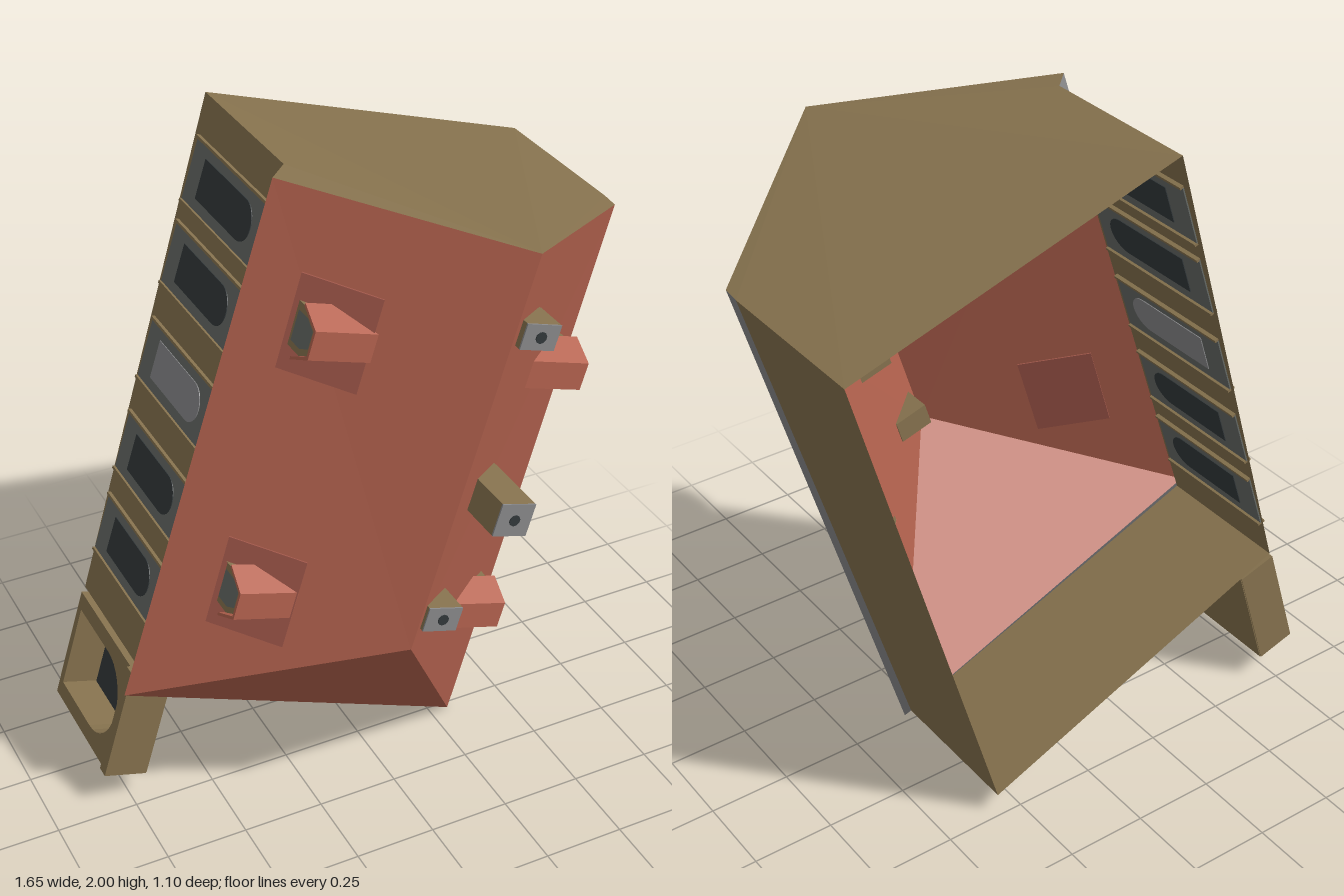
import * as THREE from 'three';

const paint = (name, color) => {
  const m = new THREE.MeshStandardMaterial({ color, side: THREE.DoubleSide });
  m.name = name;
  return m;
};

export function createModel() {
  const red = paint('roof red', 0xb5634f);
  const darkRed = paint('patch red', 0xa0574a);
  const tan = paint('wall tan', 0x86724e);
  const grey = paint('soffit grey', 0x8a8a8c);
  const slate = paint('frame slate', 0x666a66);
  const dark = paint('glass dark', 0x33393b);

  const model = new THREE.Group();
  model.name = 'house';

  const add = (parent, name, geo, mat, x = 0, y = 0, z = 0) => {
    const mesh = new THREE.Mesh(geo, mat);
    mesh.name = name;
    mesh.position.set(x, y, z);
    parent.add(mesh);
    return mesh;
  };
  const box = (w, h, d) => new THREE.BoxGeometry(w, h, d);

  // Flat panel: a fan over its corners
  const panel = (name, mat, ...corners) => {
    const pts = [];
    for (let i = 1; i < corners.length - 1; i++) pts.push(...corners[0], ...corners[i], ...corners[i + 1]);
    const geo = new THREE.BufferGeometry();
    geo.setAttribute('position', new THREE.Float32BufferAttribute(pts, 3));
    geo.computeVertexNormals();
    add(model, name, geo, mat);
  };

  // Eave corners, ridge ends and wall corners
  const EAVE = 0.025, TOP = -0.035;
  const eaves = [[-0.77, 0.455, EAVE], [0.31, 0.0, EAVE], [0.81, 1.68, EAVE], [-0.26, 2.0, EAVE]];
  const ridge1 = [-0.08, 0.71, 0.49], ridge2 = [0.28, 1.87, 0.49];
  const plan = [[-0.7, 0.49, -0.475], [0.325, 0.07, -0.49], [0.815, 1.68, -0.55], [-0.2, 2.0, -0.55]];
  const tops = plan.map(([x, y]) => [x, y, TOP]);

  // Roof, hipped at one end
  panel('leftRoofSlope', red, eaves[3], eaves[0], ridge1, ridge2);
  panel('rightRoofSlope', red, ridge1, eaves[1], eaves[2], ridge2);
  panel('hipRoof', red, eaves[0], eaves[1], ridge1);

  // Walls open underneath, with soffits out to the eaves
  ['endWall', 'rightWall', 'gableWall', 'leftWall'].forEach((name, i) => {
    const j = (i + 1) % 4;
    if (name === 'gableWall') panel(name, tan, ridge2, eaves[3], tops[3], plan[3], plan[2], tops[2], eaves[2]);
    else {
      panel(name, tan, plan[i], plan[j], tops[j], tops[i]);
      panel(name + 'Soffit', grey, tops[i], tops[j], eaves[j], eaves[i]);
    }
  });

  // Details share axes: x across the ridge, y along it, z towards the roof
  const details = new THREE.Group();
  details.name = 'details';
  details.position.set(0.28, 1.87, 0);
  details.rotation.z = -0.3;
  model.add(details);

  // Prism whose front is upright and whose back ends on the roof slope
  const slopePrism = (outline, front, side, slope) => {
    const shape = new THREE.Shape(outline.map(([u, z]) => new THREE.Vector2(u, z)));
    const geo = new THREE.ExtrudeGeometry(shape, { depth: 1, bevelEnabled: false });
    const p = geo.attributes.position;
    for (let i = 0; i < p.count; i++) {
      const u = p.getX(i), z = p.getY(i);
      const across = p.getZ(i) < 0.5 ? front : (0.49 - z) / slope;
      p.setXYZ(i, side * across, u, z);
    }
    geo.computeVertexNormals();
    return geo;
  };

  // Dormers
  const bodyOutline = [[-0.065, 0.13], [0.065, 0.13], [0.065, 0.2], [0.035, 0.258], [-0.035, 0.258], [-0.065, 0.2]];
  const roofOutline = [[-0.083, 0.185], [-0.042, 0.272], [0.042, 0.272], [0.083, 0.185],
    [0.074, 0.185], [0.037, 0.262], [-0.037, 0.262], [-0.074, 0.185]];
  const paneShape = new THREE.Shape([[-0.045, 0.145], [0.045, 0.145], [0.045, 0.2], [0.025, 0.24], [-0.025, 0.24], [-0.045, 0.2]]
    .map(([u, z]) => new THREE.Vector2(u, z)));
  for (const [side, u] of [[-1, -0.394], [-1, -1.2], [1, -0.454], [1, -1.257]]) {
    const dormer = new THREE.Group();
    dormer.name = 'dormer';
    dormer.position.y = u;
    details.add(dormer);
    const slope = 0.465 / (0.554 - 0.017 * u);
    add(dormer, 'dormerBody', slopePrism(bodyOutline, 0.44, side, slope), tan);
    add(dormer, 'dormerRoof', slopePrism(roofOutline, 0.455, side, slope), red);
    const pane = add(dormer, 'dormerWindow', new THREE.ShapeGeometry(paneShape), slate, side * 0.443);
    pane.rotation.set(Math.PI / 2, Math.PI / 2, 0);
    if (side < 0) {
      const patch = add(dormer, 'roofPatch', box(0.23, 0.28, 0.009), darkRed, -0.36, 0, 0.49 - 0.36 * slope);
      patch.rotation.y = -Math.atan(slope);
    }
  }

  // Chimneys: across, along, width, length, bottom, top
  for (const [x, y, w, l, low, high] of [[0.084, -0.236, 0.11, 0.075, 0.38, 0.485],
    [0.151, -0.759, 0.11, 0.1, 0.32, 0.545], [0.074, -1.118, 0.11, 0.075, 0.38, 0.485]]) {
    add(details, 'chimney', box(w, l, high - low), tan, x, y, (low + high) / 2);
    add(details, 'chimneyCap', box(w, l, 0.005), grey, x, y, high + 0.0025);
    const flue = add(details, 'chimneyFlue', new THREE.CylinderGeometry(0.017, 0.017, 0.004, 10), dark, x, y, high + 0.006);
    flue.rotation.x = Math.PI / 2;
  }

  // Arched outline in (along, height)
  const arch = (w, low, high, Type = THREE.Shape) => {
    const r = w / 2, s = new Type();
    s.moveTo(-r, low);
    s.lineTo(r, low);
    s.lineTo(r, high - r);
    s.absarc(0, high - r, r, 0, Math.PI, false);
    s.closePath();
    return s;
  };
  const standUp = (shape, depth) => {
    const geo = new THREE.ExtrudeGeometry(shape, { depth, bevelEnabled: false, curveSegments: 8 });
    geo.rotateX(Math.PI / 2).rotateZ(Math.PI / 2).scale(1, 1, 1);
    return geo;
  };

  // Row of five tall windows along the left wall
  for (const t of [0.15, 0.325, 0.515, 0.705, 0.865]) {
    const unit = new THREE.Group();
    unit.name = 'window';
    unit.position.set(-0.528 + 0.031 * t, -1.608 + 1.59 * t, 0);
    unit.rotation.z = -0.0195;
    details.add(unit);
    const low = -0.465 - 0.06 * t;
    add(unit, 'windowFrame', box(0.008, 0.19, -0.05 - low), slate, 0, 0, (low - 0.05) / 2);
    const middle = t === 0.515;
    const glass = standUp(arch(0.12, low + 0.08, -0.1), 0.013);
    add(unit, 'windowGlass', glass.center(), middle ? grey : dark, 0, 0, (low - 0.02) / 2);
    for (const e of [-1, 1]) add(unit, 'windowReveal', box(0.024, 0.008, -0.05 - low), tan, 0, e * 0.097, (low - 0.05) / 2);
  }

  // Porch at the foot of the left wall, with an arched recess
  const porchShape = new THREE.Shape([[-0.185, -0.475], [0.185, -0.475], [0.185, -0.03], [-0.185, -0.03]]
    .map(([u, z]) => new THREE.Vector2(u, z)));
  porchShape.holes.push(arch(0.27, -0.45, -0.085, THREE.Path));
  const porch = new THREE.Group();
  porch.name = 'porch';
  porch.position.set(-0.473, -1.655, 0);
  details.add(porch);
  add(porch, 'porchShell', standUp(porchShape, 0.125).center(), tan, 0, 0, -0.2525);
  add(porch, 'porchBack', box(0.01, 0.365, 0.44), tan, 0.06, 0, -0.2525);
  add(porch, 'porchDoor', box(0.008, 0.26, 0.34), dark, 0.05, 0, -0.27);
  add(porch, 'porchLintel', box(0.016, 0.37, 0.04), tan, -0.066, 0, -0.05);

  // Place the porch so that its corners meet the end wall
  porch.position.set(-0.573 + 0.01, -1.56 + 0.02, 0);
  const corner = new THREE.Vector3(-0.7075, 0.279, 0).sub(details.position);
  porch.position.copy(corner.applyAxisAngle(new THREE.Vector3(0, 0, 1), 0.3));
  return model;
}
